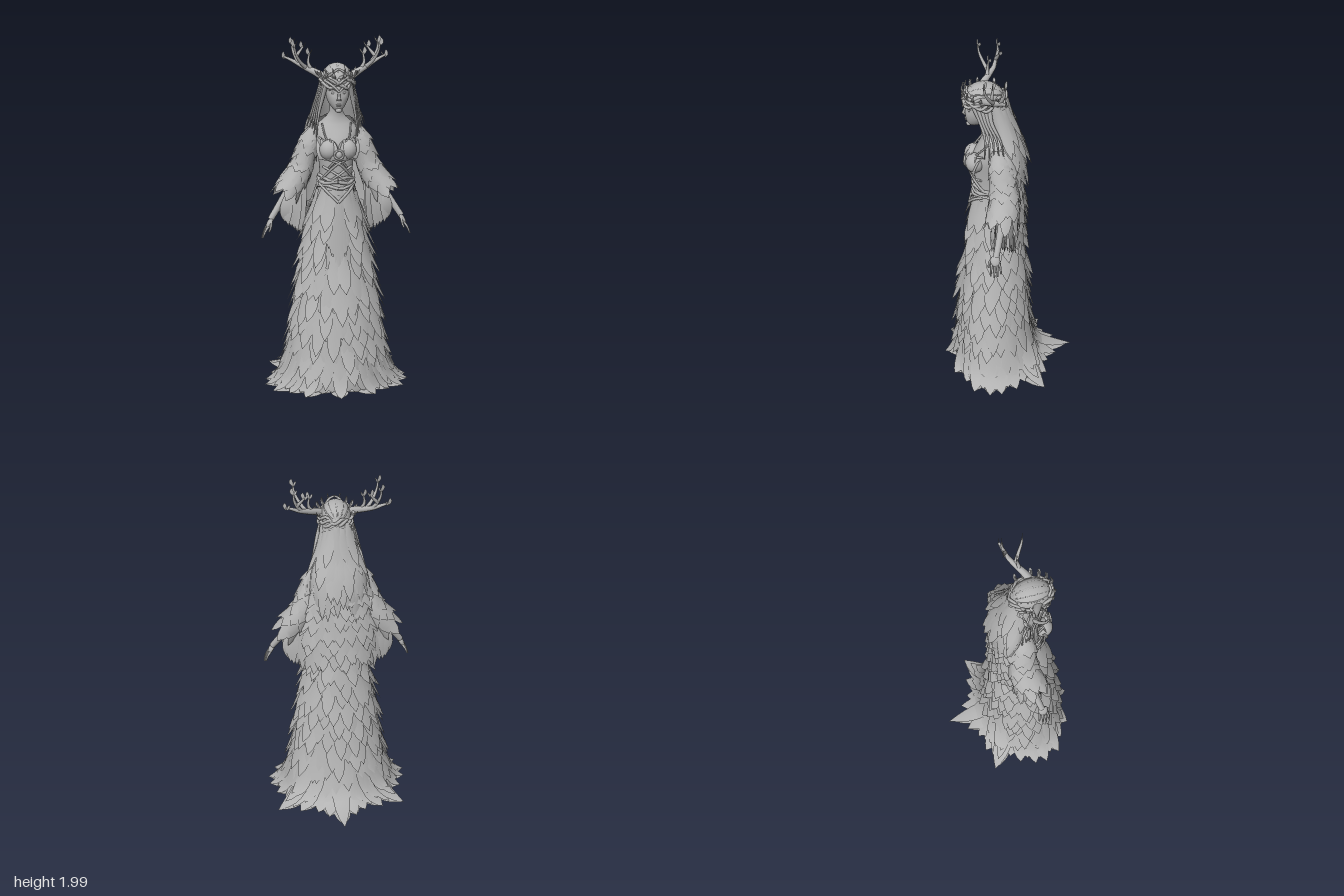
import * as THREE from 'three';
import { mergeGeometries } from 'three/addons/utils/BufferGeometryUtils.js';

const V = (x, y, z) => new THREE.Vector3(x, y, z);
const vec = p => V(...p);
let seed = 7;
const rnd = (a = 0, b = 1) => {
  seed = (seed * 16807) % 2147483647;
  return a + (b - a) * seed / 2147483647;
};

// Surface from a rule fn(u, v) -> point, u and v in 0..1
function grid(fn, nu, nv) {
  const pos = [], idx = [];
  for (let i = 0; i <= nu; i++) for (let j = 0; j <= nv; j++) pos.push(...fn(i / nu, j / nv).toArray());
  for (let i = 0; i < nu; i++) for (let j = 0; j < nv; j++) {
    const a = i * (nv + 1) + j, b = a + nv + 1;
    idx.push(a, b, a + 1, b, b + 1, a + 1);
  }
  const g = new THREE.BufferGeometry();
  g.setAttribute('position', new THREE.Float32BufferAttribute(pos, 3));
  g.setIndex(idx);
  g.computeVertexNormals();
  return g;
}

// Elliptical body surface from rows of [y, half width, z front, z back], top to bottom
const body = rows => (s, a, lift = 0) => {
  let i = 0;
  while (i < rows.length - 2 && s < rows[i + 1][0]) i++;
  const t = THREE.MathUtils.clamp((rows[i][0] - s) / (rows[i][0] - rows[i + 1][0]), 0, 1);
  const [w, f, b] = [1, 2, 3].map(k => THREE.MathUtils.lerp(rows[i][k], rows[i + 1][k], t));
  return V((w + lift) * Math.sin(a), Math.max(s, 0.015), (f + b) / 2 + ((f - b) / 2 + lift) * Math.cos(a));
};
const loft = (f, s0, s1, ns, na, a0 = -Math.PI, a1 = Math.PI) =>
  grid((u, v) => f(s0 + (s1 - s0) * u, a0 + (a1 - a0) * v), ns, na);

const leafWidth = u => (1 - u ** 2.2) * (0.55 + 0.9 * u);

// Leaf lying on a surface, pointing down it, with a raised midrib and a lifted tip
function leafOn(f, s, a, len, W, lift) {
  const turn = W / (f(s, a + 0.01).distanceTo(f(s, a)) * 100);
  return grid((u, v) => {
    const k = v * 2 - 1;
    return f(s - len * u, a + k * turn * leafWidth(u),
      0.004 + lift * u ** 1.4 + 0.3 * W * (1 - Math.abs(k)) * (1 - u));
  }, 5, 2);
}
// Leaf along a free curve
function freeLeaf(p0, p1, p2, W, side) {
  const c = new THREE.QuadraticBezierCurve3(vec(p0), vec(p1), vec(p2)), sd = vec(side).normalize();
  return grid((u, v) => {
    const k = v * 2 - 1, n = c.getTangent(u).cross(sd);
    return c.getPoint(u).addScaledVector(sd, k * W * leafWidth(u)).addScaledVector(n, 0.25 * W * (1 - Math.abs(k)) * (1 - u));
  }, 7, 2);
}
// Round branch, tapering from r0 to r1
function branch(pts, r0, r1, seg = 10, sides = 7) {
  const c = new THREE.CatmullRomCurve3(pts.map(p => p.isVector3 ? p : vec(p)));
  const g = new THREE.TubeGeometry(c, seg, 1, sides), p = g.attributes.position, q = V(0, 0, 0);
  for (let i = 0; i < p.count; i++) {
    const t = Math.floor(i / (sides + 1)) / seg, o = c.getPointAt(t);
    q.fromBufferAttribute(p, i).sub(o).multiplyScalar(r0 + (r1 - r0) * t).add(o);
    p.setXYZ(i, q.x, q.y, q.z);
  }
  return g;
}
const ball = (x, y, z, rx, ry, rz, n = 16) => new THREE.SphereGeometry(1, n, n * 0.75).scale(rx, ry, rz).translate(x, y, z);
function mirrored(g) {
  const m = g.clone().scale(-1, 1, 1), ix = m.index.array;
  for (let i = 0; i < ix.length; i += 3) [ix[i], ix[i + 1]] = [ix[i + 1], ix[i]];
  return m;
}
const both = list => [...list, ...list.map(mirrored)];

export function createModel() {
  seed = 7;
  const model = new THREE.Group();
  const grey = new THREE.MeshStandardMaterial({ color: 0xb2b2b2, side: THREE.DoubleSide });
  grey.name = 'stone grey';
  const add = (name, geos) => {
    geos.forEach(g => g.deleteAttribute('uv'));
    const m = new THREE.Mesh(mergeGeometries(geos), grey);
    m.name = name;
    model.add(m);
  };

  // Torso and gown core
  const torso = body([[1.66, .034, .14, .06], [1.58, .036, .125, .04], [1.545, .07, .125, .01], [1.5, .12, .15, -.03], [1.42, .112, .195, -.04],
    [1.32, .095, .19, -.03], [1.22, .088, .185, -.02], [1.12, .108, .198, -.055], [1, .134, .208, -.07], [.8, .172, .225, -.08],
    [.6, .204, .25, -.09], [.4, .234, .27, -.1], [.2, .26, .28, -.115], [.1, .28, .29, -.125], [.03, .3, .3, -.14]]);
  add('body', [loft(torso, 1.66, .03, 50, 40)]);
  add('bust', both([ball(.05, 1.4, .183, .052, .056, .052)]));

  // Skirt of overlapping leaves, row under row
  const skirt = [];
  for (let r = 0; r < 13; r++) {
    const y = 1.15 - r * 0.073, n = 14 + Math.round(r * 0.7);
    for (let i = 0; i < n; i++) {
      const a = (i + (r % 2) / 2) / n * Math.PI * 2 - Math.PI;
      if (y > 0.85 && Math.abs(a) < 0.33) continue;
      skirt.push(leafOn(torso, y + rnd(-.03, .03), a + rnd(-.06, .06), rnd(.18, .25), .036 + r * .0006, rnd(.03, .06)));
    }
  }
  add('skirtLeaves', skirt);
  const panel = [];
  for (let i = -3; i <= 3; i++) panel.push(leafOn(torso, 1.15 - Math.abs(i) * .01, i * .11, .42 - Math.abs(i) * .05, .024, .012));
  add('frontPanel', panel);

  // Hem leaves sweeping onto the ground, longest in the train, with flat leaves underneath
  const tips = [[.14, -.23], [.245, -.21], [.375, -.185], [.325, -.15], [.375, -.02], [.41, .07], [.415, .14], [.375, .23], [.285, .27], [.2, .335], [.1, .3]];
  const hemLeaf = ([x, z], k, y, W, top = .26) => {
    const a = Math.atan2(x / .35, (z - .08) / .25), p = torso(top, a), d = V(x, 0, z - .08).normalize(), m = torso(.06, a, .02);
    return freeLeaf(p.toArray(), [m.x, .02 + y, m.z], [x * k, y, .08 + (z - .08) * k], W, [d.z, 0, -d.x]);
  };
  const flatLeaf = ([x, z]) => {
    const d = V(x, 0, z - .08).normalize(), at = k => [x * k, .012, .08 + (z - .08) * k];
    return freeLeaf(at(.5), at(.75), at(.98), .062, [d.z, 0, -d.x]);
  };
  const hem = both(tips.flatMap((t, i) => {
    const n = tips[(i + 1) % tips.length], mid = i < 10 ? [(t[0] + n[0]) / 2, (t[1] + n[1]) / 2] : [.05, .33];
    return [hemLeaf(t, 1, .014, i < 4 ? .07 : .058), hemLeaf(mid, .93, .025, .055), hemLeaf(t, .88, .05, .048, .32), hemLeaf(mid, .83, .085, .045, .36), flatLeaf(t)];
  }));
  hem.push(hemLeaf([0, .38], 1, .014, .052), hemLeaf([0, -.385], 1, .02, .062, .16), hemLeaf([0, -.28], 1, .03, .07),
    flatLeaf([0, .37]), flatLeaf([0, -.36]), ...both([hemLeaf([.08, -.285], 1, .02, .065, .16), flatLeaf([.08, -.28])]));
  add('hemLeaves', hem);

  // Leaf cape over the back
  const cape = body([[1.56, .08, .1, 0], [1.47, .15, .12, -.055], [1.3, .18, .12, -.065], [1.1, .195, .12, -.075], [.85, .18, .15, -.08]]);
  const capeParts = [loft(cape, 1.55, 1.05, 12, 20, Math.PI - 1.3, Math.PI + 1.3)];
  for (let r = 0; r < 9; r++) for (let i = 0; i < 9; i++) {
    const a = Math.PI - 1.35 + (i + (r % 2) / 2) / 9 * 2.7;
    capeParts.push(leafOn(cape, 1.54 - r * .058 + rnd(-.02, .02), a, rnd(.14, .19), .038, rnd(.025, .045)));
  }
  add('backCape', capeParts);

  // Arms and leaf sleeves
  const arm = new THREE.CatmullRomCurve3([[.095, 1.5, .055], [.14, 1.42, .05], [.19, 1.27, .035], [.28, 1.12, .06], [.365, .99, .095]].map(vec));
  const sleeve = (s, a, lift = 0) => {
    const t = THREE.MathUtils.clamp(1 - s, 0, 1), T = arm.getTangent(t), Z = V(0, 0, 1);
    const X = Z.clone().cross(T).normalize(), N = X.clone().cross(T).negate(), r = .028 + .026 * Math.min(1, t * 1.6);
    return arm.getPoint(t).addScaledVector(X, (r + lift) * Math.sin(a)).addScaledVector(N, (r * 1.25 + lift) * Math.cos(a));
  };
  const sl = [loft(sleeve, 1, .36, 14, 14)];
  for (let r = 0; r < 9; r++) for (let i = 0; i < 7; i++)
    sl.push(leafOn(sleeve, 1 - r * .069, (i + (r % 2) / 2) / 7 * Math.PI * 2, rnd(.2, .27), .034, rnd(.012, .024) + r * .001));
  for (let i = 0; i < 21; i++) {
    const k = i % 7, t = .48 + k * .045, p = arm.getPoint(t), z = [-.04, 0, .04][Math.floor(i / 7)], drop = .42 - k * .042 - (i < 7 ? 0 : .02);
    sl.push(freeLeaf([p.x - .01, p.y, p.z + z], [p.x + .015, p.y - drop * .5, p.z + z * 1.5], [p.x + .005, p.y - drop, p.z + z + rnd(-.02, .02)], .036, z > 0 ? [1, 0, -.3] : [-1, 0, -.4]));
  }
  add('sleeves', both(sl));
  add('arms', both([branch(arm.getPoints(8), .03, .017, 16, 10)]));
  const hand = [ball(0, 0, 0, .014, .033, .027, 12).rotateZ(.5).translate(.372, .97, .1)];
  for (let i = 0; i < 4; i++) {
    const z = .079 + i * .014, l = [.8, 1, 1.05, .92][i];
    hand.push(branch([[.378, .957, z], [.378 + .02 * l, .957 - .03 * l, z + (i - 1.5) * .003], [.378 + .034 * l, .957 - .066 * l, z + (i - 1.5) * .005]], .0075, .0045, 6, 6));
  }
  hand.push(branch([[.362, .985, .115], [.366, .955, .133], [.376, .93, .138]], .008, .005, 6, 6));
  add('hands', both(hand));

  // Bodice: bust leaves, crossed cords and belt
  const bodice = [];
  for (let i = 0; i < 5; i++) {
    const x = .015 + i * .022;
    bodice.push(freeLeaf([x * .9, 1.35, .225 - i * .008], [x, 1.39, .25 - i * .012], [x + .008, 1.455 + (i % 2) * .015, .205 - i * .012], .02, [-1, 0, .3]));
  }
  const cord = (pts, r) => branch(pts.map(([y, a, l]) => torso(y, a, l)), r, r, 24, 6);
  bodice.push(cord([[1.36, -.75, .03], [1.33, 0, .02], [1.25, .8, .008], [1.2, 1.4, .008]], .007),
    cord([[1.3, -.9, .008], [1.26, 0, .01], [1.19, .9, .01]], .007),
    cord([[1.46, .9, .01], [1.43, .3, .03], [1.37, 0, .03], [1.3, -.5, .01]], .006),
    cord([[1.53, 1, .008], [1.46, .5, .012], [1.4, .05, .03]], .005));
  const dress = both(bodice);
  [[1.235, .009], [1.215, .011], [1.19, .009]].forEach(([y, r], k) => {
    const pts = [];
    for (let i = 0; i <= 24; i++) pts.push([y + .008 * Math.sin(i * 1.05 + k * 2), i / 24 * Math.PI * 2, .008]);
    dress.push(cord(pts, r));
  });
  dress.push(...both([cord([[1.2, 1.2, .014], [1.17, .6, .014], [1.11, 0, .016]], .008)]),
    new THREE.TorusGeometry(.024, .006, 6, 16).translate(0, 1.385, .236), ball(0, 1.385, .234, .017, .02, .012));
  add('bodiceAndBelt', dress);

  // Head narrowing to the chin, with sunken eyes
  const head = new THREE.SphereGeometry(1, 32, 24), hp = head.attributes.position;
  for (let i = 0; i < hp.count; i++) {
    let x = hp.getX(i), y = hp.getY(i), z = hp.getZ(i);
    const low = Math.max(0, -y);
    if (z > 0) z -= .13 * Math.exp(-((Math.abs(x) - .42) ** 2) * 18 - (y - .08) ** 2 * 40);
    hp.setXYZ(i, x * .064 * (1 - .3 * low * low), 1.715 + y * .105, .15 + z * .078 + low * low * .03);
  }
  head.computeVertexNormals();
  add('head', [head]);
  add('face', [branch([[0, 1.73, .222], [0, 1.705, .231], [0, 1.686, .237]], .006, .009), ball(0, 1.658, .224, .015, .004, .006), ball(0, 1.65, .223, .012, .004, .006),
    ball(0, 1.624, .209, .018, .014, .014),
    ...both([ball(.027, 1.718, .206, .014, .007, .009), ball(.008, 1.684, .229, .006, .005, .007),
      branch([[.01, 1.735, .224], [.028, 1.742, .218], [.05, 1.732, .2]], .005, .003)])]);

  // Long hair: parted cap, layered back locks and strands framing the face
  const hair = body([[1.83, .05, .16, .04], [1.78, .078, .17, .01], [1.7, .086, .13, -.01], [1.6, .105, .09, -.035], [1.5, .135, .06, -.07], [1.4, .13, .02, -.085], [1.25, .1, 0, -.085]]);
  const locks = [ball(0, 1.784, .125, .08, .08, .104, 28), loft(hair, 1.82, 1.4, 20, 24, Math.PI - 1.75, Math.PI + 1.75)];
  for (let r = 0; r < 5; r++) for (let i = 0; i < 9; i++) {
    const a = Math.PI + (i - 4 + (r % 2 - .5) / 2) * .42;
    locks.push(leafOn(hair, 1.76 - r * .07 + rnd(-.03, .03), a, rnd(.17, .27), .028, rnd(.012, .042)));
  }
  for (let i = 0; i < 5; i++)
    locks.push(...both([branch([[.064 + i * .004, 1.76, .185 - i * .02], [.08 + i * .006, 1.68, .155 - i * .015], [.1 + i * .008, 1.58, .13 - i * .02], [.112 + i * .011, 1.46 + i * .01, .135 - i * .025]], .014, .003, 14, 6)]));
  for (const b of [.05, .5, .95]) {
    const arc = [];
    for (let i = 0; i <= 8; i++) {
      const e = .5 + i / 8 * 2.4;
      arc.push([.079 * Math.sin(b) * Math.sin(e), 1.784 + .076 * Math.cos(b) * Math.sin(e), .125 + .101 * Math.cos(e)]);
    }
    locks.push(...both([branch(arc, .005, .005, 14, 5)]));
  }
  add('hair', locks);

  // Crown of twined twigs, with a pointed brow piece and sprigs
  const crown = [];
  for (let k = 0; k < 4; k++) {
    const pts = [];
    for (let i = 0; i <= 32; i++) {
      const a = i / 32 * Math.PI * 2, w = .009 * Math.sin(i / 32 * Math.PI * 10 + k * 1.6);
      pts.push([(.088 + w) * Math.sin(a), 1.758 + k * .012 + .013 * Math.cos(i / 32 * Math.PI * 12 + k * 1.6), .122 + (.106 + w) * Math.cos(a)]);
    }
    crown.push(branch(pts, .009, .009, 64, 6));
  }
  const half = [branch([[.085, 1.79, .15], [.055, 1.775, .21], [.025, 1.755, .232], [0, 1.728, .238]], .009, .006),
    branch([[.07, 1.8, .19], [.035, 1.8, .23], [0, 1.775, .242]], .009, .007), branch([[.05, 1.81, .2], [.025, 1.835, .22], [0, 1.85, .215]], .008, .006)];
  for (let i = 0; i < 6; i++) {
    const a = .25 + i * .36, x = Math.sin(a), z = Math.cos(a), h = 1.855 - i * .01;
    half.push(branch([[x * .085, 1.78, .122 + z * .1], [x * .108, 1.815, .122 + z * .122], [x * .105 + .008, h, .122 + z * .115]], .007, .003, 6, 5),
      freeLeaf([x * .09, 1.79, .122 + z * .11], [x * .12, 1.81, .122 + z * .13], [x * .125, 1.835, .122 + z * .128], .012, [z, 0, -x]));
  }
  add('crown', [...crown, ...both(half), ball(0, 1.79, .236, .01, .014, .009, 10)]);

  // Branching antlers with small leaves at the tips
  const antler = [branch([[.06, 1.785, .145], [.105, 1.81, .12], [.155, 1.83, .085], [.2, 1.85, .055], [.24, 1.87, .04], [.275, 1.885, .03]], .024, .006, 20, 9)];
  const twigs = [[[.19, 1.845, .06], [.215, 1.885, .045], [.23, 1.925, .035], [.232, 1.96, .035]],
    [[.16, 1.832, .085], [.195, 1.87, .11], [.222, 1.925, .135], [.228, 1.965, .14]],
    [[.13, 1.82, .1], [.15, 1.86, .095], [.145, 1.91, .09]], [[.215, 1.885, .045], [.19, 1.915, .035], [.175, 1.935, .03]]];
  for (const t of twigs) antler.push(branch(t, .012, .005, 10, 7));
  for (const [x, y, z] of [[.27, 1.88, .03], ...twigs.map(t => t[t.length - 1])])
    antler.push(freeLeaf([x, y - .006, z], [x + .016, y + .014, z + .005], [x + .008, y + .035, z], .014, [1, -.3, .4]),
      freeLeaf([x, y - .006, z], [x - .012, y + .008, z - .008], [x - .018, y + .026, z - .012], .011, [.3, .5, 1]));
  add('antlers', both(antler));
  return model;
}
